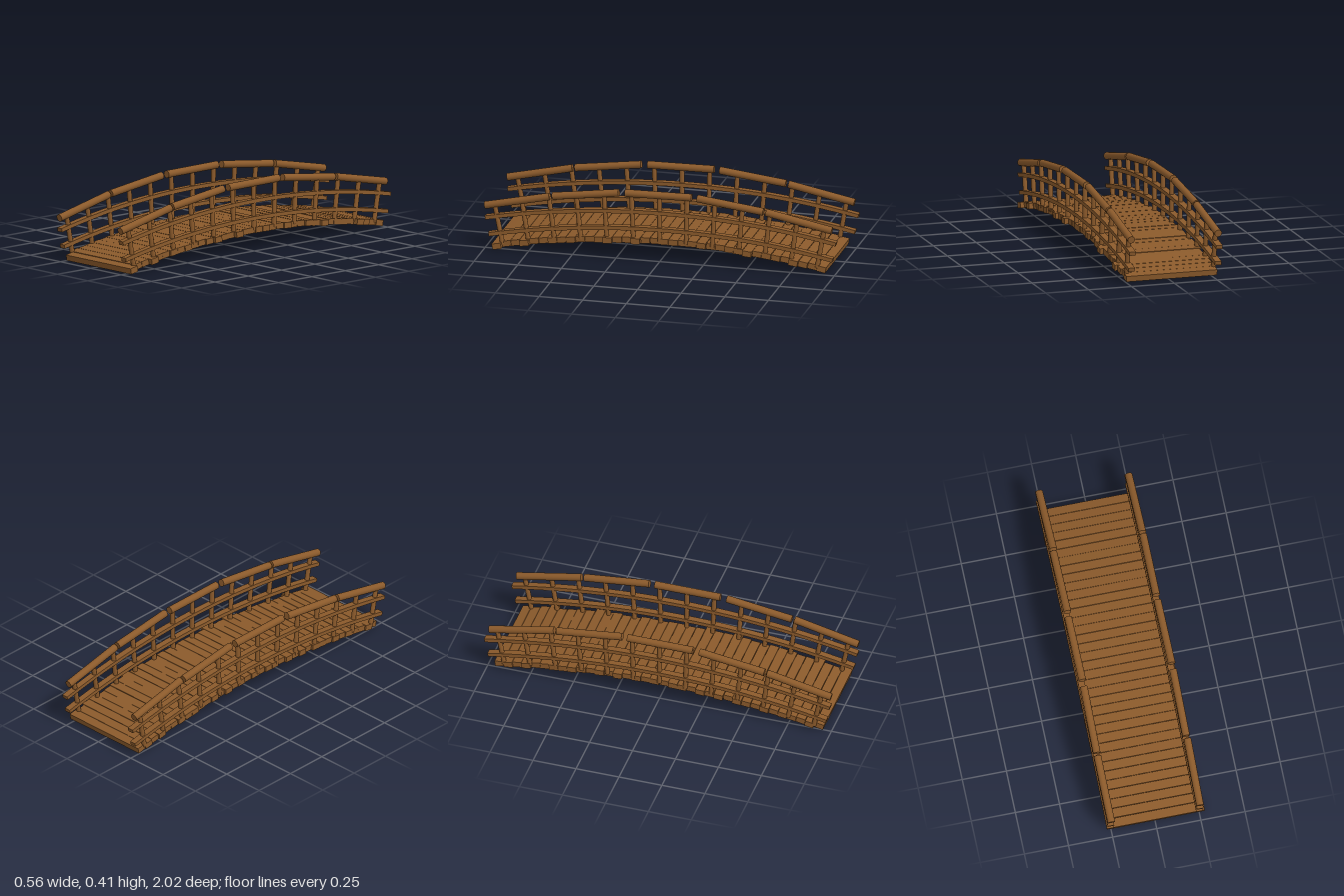
import * as THREE from 'three';

export function createModel() {
  const wood = new THREE.MeshStandardMaterial({ color: 0x8b5a2b });
  wood.name = 'brown wood';
  const model = new THREE.Group();
  model.name = 'archedFootbridge';
  const bridge = new THREE.Group();
  bridge.name = 'bridge';
  bridge.rotation.x = 0.007; // the bridge leans slightly to the front
  model.add(bridge);

  // Point on the arch: arc position s, height h above the deck centre line
  const R = 4.8, DECK_Y = 0.118;
  const arch = (s, h) => new THREE.Vector3(0, DECK_Y - R + (R + h) * Math.cos(s / R), (R + h) * Math.sin(s / R));

  let seed = 7;
  const jitter = (amount) => {
    seed = (seed * 16807) % 2147483647;
    return (seed / 2147483647 - 0.5) * 2 * amount;
  };

  const add = (parent, geometry, name) => {
    const mesh = new THREE.Mesh(geometry, wood);
    mesh.name = name;
    parent.add(mesh);
    return mesh;
  };

  // Round pole between two points
  const pole = (parent, a, b, radius, name) => {
    const dir = b.clone().sub(a);
    const mesh = add(parent, new THREE.CylinderGeometry(radius, radius, dir.length(), 16), name);
    mesh.position.copy(a).add(b).multiplyScalar(0.5);
    mesh.quaternion.setFromUnitVectors(new THREE.Vector3(0, 1, 0), dir.normalize());
  };

  // Deck planks, a few of them sticking out to the side
  const deck = new THREE.Group();
  deck.name = 'deck';
  bridge.add(deck);
  const COUNT = 36, PITCH = 1.922 / COUNT;
  const longPlanks = [0, 3, 12, 15, 27, 32];
  for (let i = 0; i < COUNT; i++) {
    const s = 0.961 - (i + 0.5) * PITCH;
    const right = longPlanks.includes(i) ? 0.281 : 0.26 + jitter(0.007);
    const left = i === 0 ? -0.252 : -0.268 + jitter(0.007);
    const plank = add(deck, new THREE.BoxGeometry(right - left, 0.033, PITCH - 0.002), 'plank');
    plank.position.copy(arch(s, jitter(0.0015)));
    plank.position.x = (left + right) / 2;
    plank.rotation.set(s / R, jitter(0.002), 0);
  }

  // Bent rectangular rail following the arch
  const bentRail = (parent, h) => {
    const g = new THREE.BoxGeometry(0.037, 0.022, 1.955, 1, 1, 32);
    const p = g.attributes.position;
    for (let i = 0; i < p.count; i++) {
      const v = arch(p.getZ(i) - 0.008, h + p.getY(i));
      p.setXYZ(i, p.getX(i), v.y, v.z);
    }
    g.computeVertexNormals();
    add(parent, g, 'rail');
  };

  // Straight handrail pieces as [z, y, z, y]
  const handrails = [
    [1.0, 0.251, 0.627, 0.331], [0.612, 0.334, 0.232, 0.383], [0.195, 0.385, -0.185, 0.385],
    [-0.217, 0.383, -0.596, 0.334], [-0.612, 0.332, -0.988, 0.253],
  ];

  for (const [name, x] of [['leftRailing', 0.247], ['rightRailing', -0.259]]) {
    const side = new THREE.Group();
    side.name = name;
    side.position.x = x;
    bridge.add(side);
    for (let i = -6; i <= 6; i++) {
      // Each post reaches the handrail above it
      const s = i * 0.151, reach = 0.265 - 0.026 * (s / 0.91) ** 2;
      pole(side, arch(s, 0), arch(s, reach), 0.0135, 'post');
    }
    bentRail(side, 0.068);
    bentRail(side, 0.166);
    for (const [z1, y1, z2, y2] of handrails) {
      const dx = jitter(0.002);
      pole(side, new THREE.Vector3(dx, y1, z1), new THREE.Vector3(-dx, y2, z2), 0.021, 'handrail');
    }
  }
  return model;
}
